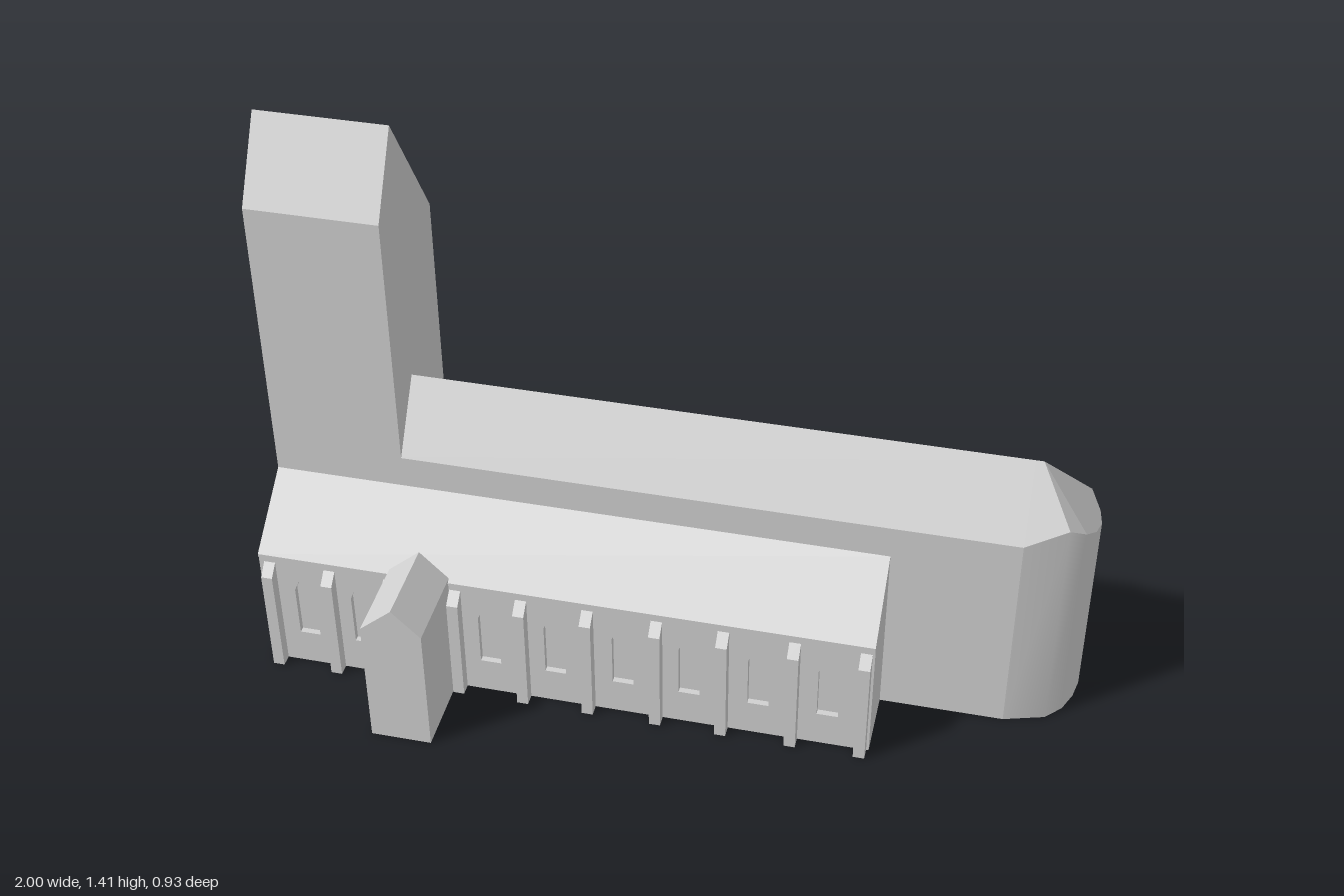
import * as THREE from 'three';

const stone = new THREE.MeshStandardMaterial({ color: 0xd0d0d0 });
stone.name = 'pale stone';

const toShape = (pts) => new THREE.Shape(pts.map(([x, y]) => new THREE.Vector2(x, y)));

// Pointed arch outline: centre, half width, sill, shoulder, apex
const arch = (c, w, y0, y1, y2) => [[c - w, y0], [c + w, y0], [c + w, y1], [c + w * 0.55, y1 + (y2 - y1) * 0.6],
  [c, y2], [c - w * 0.55, y1 + (y2 - y1) * 0.6], [c - w, y1]];

function part(parent, name, geometry) {
  const mesh = new THREE.Mesh(geometry, stone);
  mesh.name = name;
  parent.add(mesh);
  return mesh;
}

// Extrude an x,y outline from z0 to z1
function prismZ(pts, z0, z1, holes = []) {
  const shape = toShape(pts);
  for (const h of holes) shape.holes.push(new THREE.Path(h.map(([x, y]) => new THREE.Vector2(x, y))));
  return new THREE.ExtrudeGeometry(shape, { depth: z1 - z0, bevelEnabled: false }).translate(0, 0, z0);
}

// Extrude a z,y outline from x0 to x1
function prismX(pts, x0, x1, holes = []) {
  const flip = (list) => list.map(([z, y]) => [-z, y]);
  return prismZ(flip(pts), x0, x1, holes.map(flip)).rotateY(Math.PI / 2);
}

// Side aisle with lean-to roof, recessed windows and buttresses; s is +1 south, -1 north
function aisle(name, s, zIn, zOut, xEnd, windows, buttresses) {
  const g = new THREE.Group();
  g.name = name;
  const back = zOut - s * 0.015, eave = zOut + s * 0.003;
  part(g, 'aisleBody', prismX([[zIn, 0], [zIn, 0.47], [eave, 0.338], [eave, 0.33], [back, 0.33], [back, 0]], -1, xEnd));
  const holes = windows.map((x) => arch(x, 0.026, 0.095, 0.235, 0.28));
  part(g, 'windowWall', prismZ([[-1, 0], [xEnd, 0], [xEnd, 0.33], [-1, 0.33]],
    Math.min(back, zOut), Math.max(back, zOut), holes));
  const tip = zOut + s * 0.03;
  for (const x of buttresses) {
    part(g, 'buttress', prismX([[zOut, 0], [tip, 0], [tip, 0.288], [zOut, 0.315]], x - 0.014, x + 0.014));
  }
  return g;
}

// Rounded east end: curved wall capped by the main roof slopes and a hip
function apse() {
  const g = new THREE.Group();
  g.name = 'apse';
  const plan = [[0.83, 0.08], [0.93, 0.05], [0.968, 0.01], [0.99, -0.04], [1, -0.09], [0.993, -0.125],
    [0.967, -0.165], [0.935, -0.208], [0.83, -0.237]];
  const roofY = (x, z) => Math.min(0.72 - 1.375 * (z + 0.04), 0.72 + 1.28 * (z + 0.04), 0.72 - 1.33 * (x - 0.85));
  const top = plan.map(([x, z]) => [x, roofY(x, z), z]);
  const low = plan.map(([x, z]) => [x, 0, z]);

  const wall = new THREE.BufferGeometry();
  wall.setAttribute('position', new THREE.Float32BufferAttribute([...low, ...top].flat(), 3));
  const n = plan.length, index = [];
  for (let i = 0; i < n - 1; i++) index.push(i, i + 1, n + i + 1, i, n + i + 1, n + i);
  wall.setIndex(index);
  wall.computeVertexNormals();
  part(g, 'apseWall', wall);

  const ridge = [0.83, 0.72, -0.04], apex = [0.85, 0.72, -0.04], tris = [];
  tris.push(ridge, top[0], apex);
  for (let i = 0; i < n - 1; i++) tris.push(apex, top[i], top[i + 1]);
  tris.push(apex, top[n - 1], ridge);
  for (let i = 1; i < n - 1; i++) tris.push(low[0], low[i + 1], low[i]);
  const cap = new THREE.BufferGeometry();
  cap.setAttribute('position', new THREE.Float32BufferAttribute(tris.flat(), 3));
  cap.computeVertexNormals();
  part(g, 'apseRoofAndFloor', cap);
  return g;
}

export function createModel() {
  const model = new THREE.Group();
  model.name = 'church';

  // Nave with uneven roof slopes
  part(model, 'nave', prismX([[0.08, 0], [0.08, 0.555], [-0.04, 0.72], [-0.26, 0.44], [-0.26, 0]], -0.7, 0.83));
  model.add(apse());

  // West tower with a doorway and three belfry openings in its front slab
  const towerTop = [[0.08, 0], [0.08, 1.22], [-0.04, 1.41], [-0.26, 1.07], [-0.26, 0]];
  part(model, 'tower', prismX(towerTop, -0.985, -0.675));
  const door = [[-0.13, 0], [-0.13, 0.11], [-0.112, 0.137], [-0.09, 0.155], [-0.068, 0.137], [-0.05, 0.11], [-0.05, 0]];
  const belfry = [-0.18, -0.09, 0].map((z) => arch(z, 0.024, 0.92, 1.02, 1.06));
  part(model, 'towerWestWall', prismX([...towerTop, ...door], -1, -0.985, belfry));

  // Aisles
  const bays = [-0.89, -0.745, -0.42, -0.255, -0.085, 0.08, 0.25, 0.42];
  const piers = [-0.973, -0.82, -0.667, -0.5, -0.335, -0.17, 0, 0.163, 0.335, 0.505];
  model.add(aisle('southAisle', 1, 0.08, 0.257, 0.525, bays, piers));
  model.add(aisle('northAisle', -1, -0.26, -0.437, 0.695, [...bays, -0.583], [...piers, 0.68]));

  // South porch
  part(model, 'porch', prismZ([[-0.665, 0], [-0.515, 0], [-0.515, 0.345], [-0.585, 0.415], [-0.665, 0.345]], 0.25, 0.467));

  return model;
}
